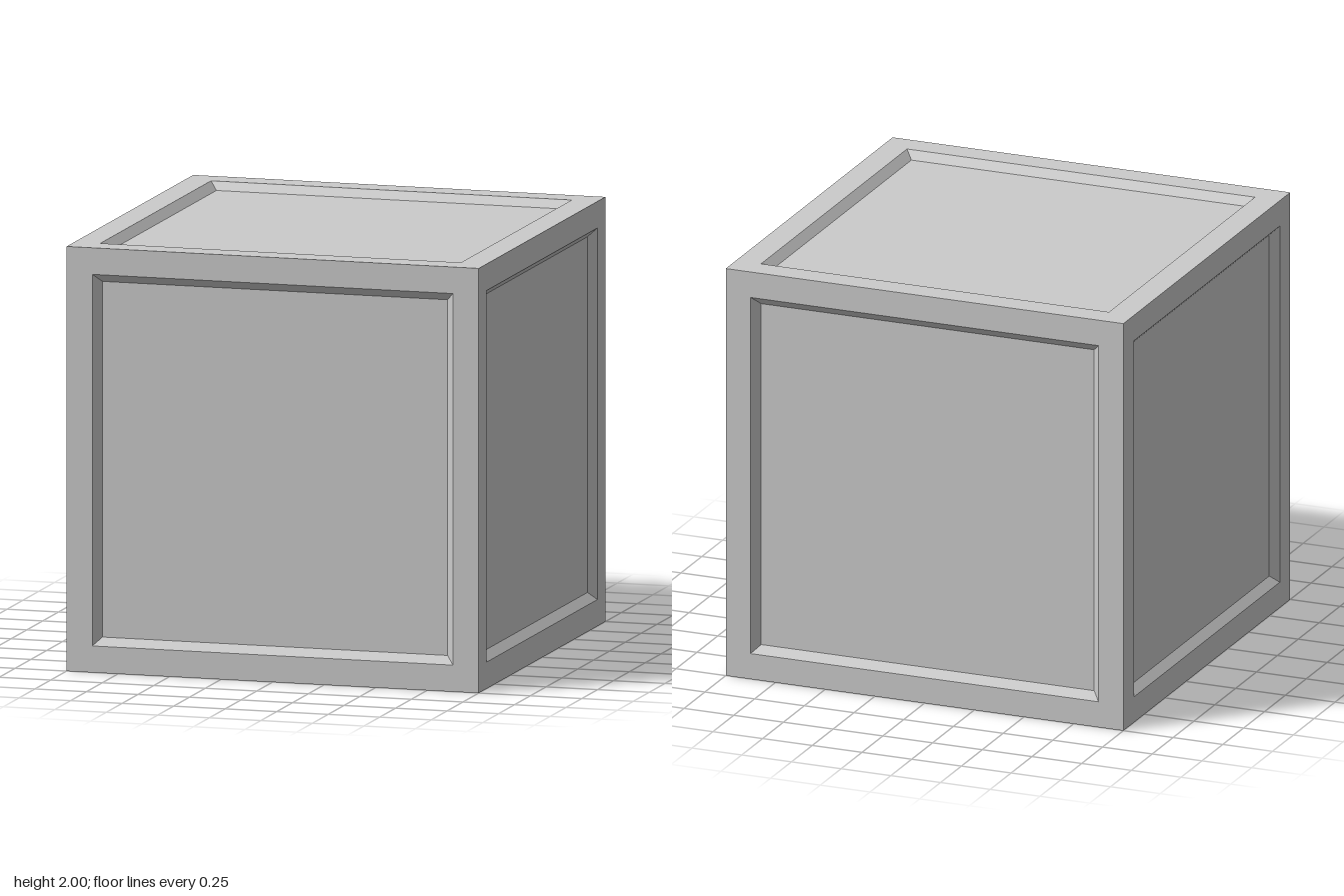
import * as THREE from 'three';

const HALF = 1;        // half the cube's edge
const RIM = 0.875;     // half width of the recess opening
const FLOOR = 0.8375;  // half width of the recessed panel
const DEPTH = 0.0375;  // depth of the recess

export function createModel() {
  const model = new THREE.Group();
  model.name = 'panelledCube';
  const material = new THREE.MeshStandardMaterial({ color: 0xcccccc, flatShading: true });

  // Square frame with a bevelled inner edge: a four-sided lathe, facing +y
  const profile = [[HALF, HALF], [RIM, HALF], [FLOOR, HALF - DEPTH]]
    .map(([half, y]) => new THREE.Vector2(half * Math.SQRT2, y));
  const frameGeometry = new THREE.LatheGeometry(profile, 4, Math.PI / 4);

  // Flat floor of the recess
  const panelGeometry = new THREE.PlaneGeometry(2 * FLOOR, 2 * FLOOR)
    .rotateX(-Math.PI / 2)
    .translate(0, HALF - DEPTH, 0);

  // The same side turned to all six directions
  const sides = {
    top: [0, 0, 0],
    bottom: [Math.PI, 0, 0],
    front: [Math.PI / 2, 0, 0],
    back: [-Math.PI / 2, 0, 0],
    left: [0, 0, -Math.PI / 2],
    right: [0, 0, Math.PI / 2],
  };
  for (const [name, rotation] of Object.entries(sides)) {
    const side = new THREE.Group();
    side.name = `${name}Side`;
    const frame = new THREE.Mesh(frameGeometry, material);
    frame.name = `${name}Frame`;
    const panel = new THREE.Mesh(panelGeometry, material);
    panel.name = `${name}Panel`;
    side.add(frame, panel);
    side.rotation.set(...rotation);
    side.position.y = HALF;
    model.add(side);
  }
  return model;
}
